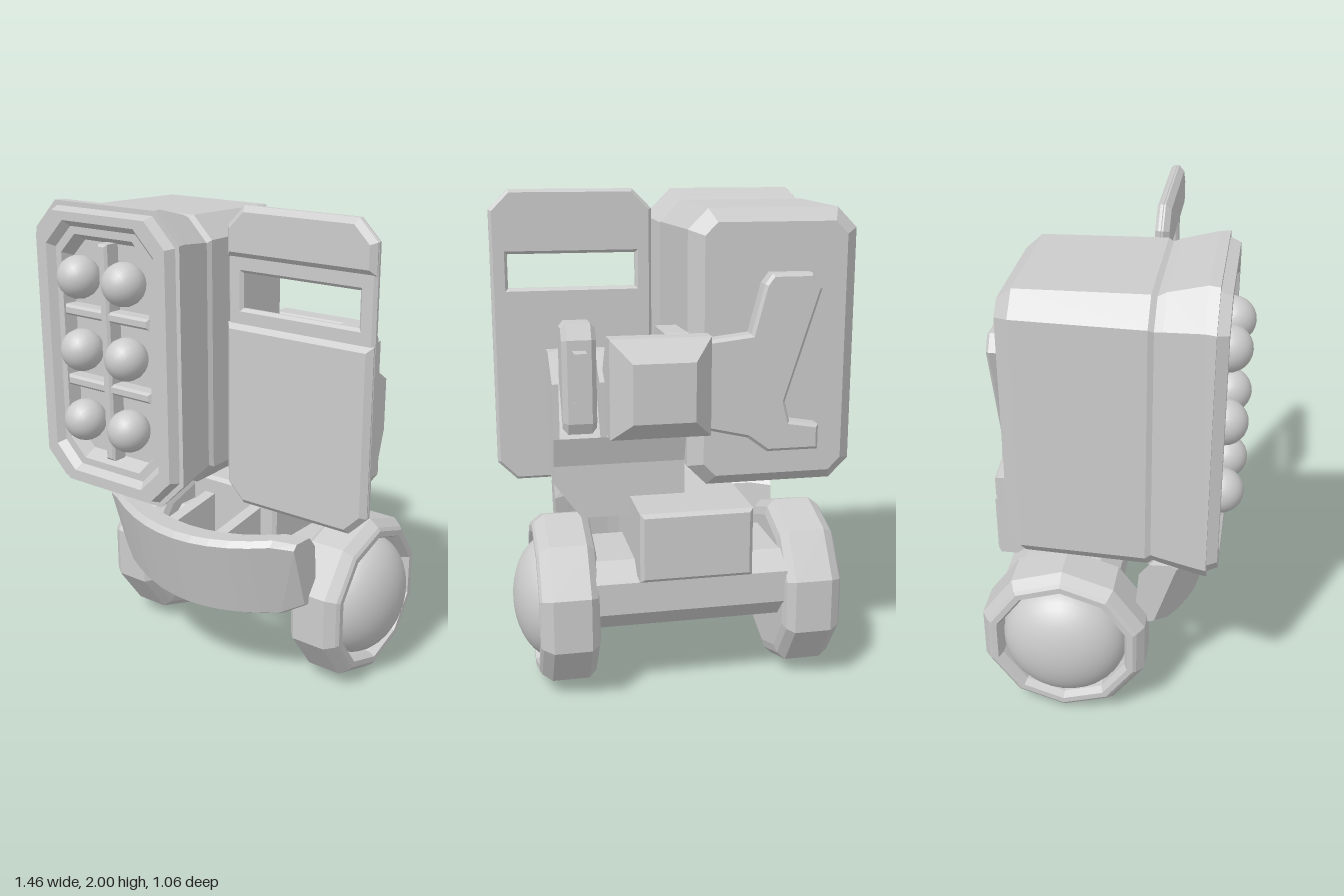
import * as THREE from 'three';

const flat = new THREE.MeshStandardMaterial({ color: 0xcccccc, flatShading: true, side: THREE.DoubleSide });
const smooth = new THREE.MeshStandardMaterial({ color: 0xcccccc });

// Skin a list of equal-length rings (counter-clockwise seen from the end side), capped at both ends.
function loft(rings) {
  const n = rings[0].length, pos = rings.flat(2), index = [];
  for (let r = 0; r < rings.length - 1; r++)
    for (let i = 0; i < n; i++) {
      const a = r * n + i, b = r * n + (i + 1) % n;
      index.push(a, b, b + n, a, b + n, a + n);
    }
  const last = (rings.length - 1) * n;
  for (let i = 1; i < n - 1; i++) {
    index.push(0, i + 1, i);
    index.push(last, last + i, last + i + 1);
  }
  const g = new THREE.BufferGeometry();
  g.setAttribute('position', new THREE.Float32BufferAttribute(pos, 3));
  g.setIndex(index);
  const out = g.toNonIndexed();
  out.computeVertexNormals();
  return out;
}

// Corner-cut rectangle in the plane z
function octagon(cx, cy, z, w, h, c) {
  return [[w, c - h], [w, h - c], [w - c, h], [c - w, h], [-w, h - c], [-w, c - h], [c - w, -h], [w - c, -h]]
    .map(([x, y]) => [cx + x, cy + y, z]);
}

const shapeOf = (pts) => new THREE.Shape(pts.map(([x, y]) => new THREE.Vector2(x, y)));

// Plate drawn in xy, from z0 to z1, with an optional bevel kept inside its outline
function plate(pts, z0, z1, bevel = 0, hole) {
  const s = shapeOf(pts);
  if (hole) s.holes.push(new THREE.Path(hole.map(([x, y]) => new THREE.Vector2(x, y))));
  const g = new THREE.ExtrudeGeometry(s, {
    depth: z1 - z0 - 2 * bevel, bevelEnabled: bevel > 0,
    bevelSize: bevel, bevelOffset: -bevel, bevelThickness: bevel, bevelSegments: 1,
  });
  return g.translate(0, 0, z0 + bevel);
}

// Side profile given as (z, y), extruded from x0 to x1
function prism(pts, x0, x1, bevel = 0) {
  return plate(pts.map(([z, y]) => [-z, y]), x0, x1, bevel).rotateY(Math.PI / 2);
}

function box(x0, x1, y0, y1, z0, z1, bevel = 0) {
  return plate([[x0, y0], [x1, y0], [x1, y1], [x0, y1]], z0, z1, bevel);
}

export function createModel() {
  const model = new THREE.Group();
  const add = (name, geometry, material = flat, parent = model) => {
    const m = new THREE.Mesh(geometry, material);
    m.name = name;
    parent.add(m);
    return m;
  };

  // Launcher pod: body, collar, front frame and recess in one skin
  const px = -0.345, py = 1.39;
  add('launcherPod', loft([
    [-0.36, 0.285, 0.5, 0.05], [-0.30, 0.34, 0.55, 0.08], [0.18, 0.355, 0.56, 0.09],
    [0.20, 0.345, 0.55, 0.09], [0.23, 0.35, 0.565, 0.1], [0.37, 0.375, 0.6, 0.12],
    [0.41, 0.385, 0.6, 0.12], [0.41, 0.365, 0.58, 0.11], [0.45, 0.345, 0.565, 0.1],
    [0.45, 0.29, 0.53, 0.1], [0.42, 0.265, 0.505, 0.09], [0.42, 0.235, 0.475, 0.08],
    [0.36, 0.225, 0.445, 0.07],
  ].map(([z, w, h, c]) => octagon(px, py, z, w, h, c))));

  // Grid dividers and rounded missile tips
  add('verticalDivider', box(px - 0.024, px + 0.024, 0.94, 1.84, 0.34, 0.43, 0.01));
  for (const y of [1.25, 1.55])
    add('horizontalDivider', box(px - 0.23, px + 0.23, y - 0.022, y + 0.022, 0.34, 0.425, 0.01));
  for (const x of [-0.465, -0.22])
    for (const y of [1.1, 1.4, 1.7]) {
      const tip = new THREE.SphereGeometry(0.088, 20, 12).rotateX(Math.PI / 2);
      add('missileTip', tip, smooth).position.set(x, y, 0.44);
    }

  // Shield: backing plate with a viewing slot and two raised panels
  const slot = [[0.13, 1.6], [0.13, 1.74], [0.66, 1.74], [0.66, 1.6]];
  const shieldEdge = [[0.14, 0.78], [0.65, 0.78], [0.73, 0.86], [0.73, 1.92], [0.65, 2], [0.14, 2], [0.06, 1.92], [0.06, 0.86]];
  add('shieldPlate', plate(shieldEdge, 0.11, 0.145, 0.012, slot));
  add('shieldLowerPanel', plate([[0.14, 0.78], [0.65, 0.78], [0.73, 0.86], [0.73, 1.54], [0.06, 1.54], [0.06, 0.86]], 0.115, 0.165, 0.022));
  add('shieldUpperPanel', plate([[0.06, 1.8], [0.73, 1.8], [0.73, 1.92], [0.65, 2], [0.14, 2], [0.06, 1.92]], 0.115, 0.165, 0.022));

  // Torso with a sloping back and a tapered underside
  add('torso', prism([[-0.03, 0.87], [-0.03, 1.2], [-0.09, 1.38], [-0.12, 1.38], [-0.31, 1.06], [-0.275, 0.94], [-0.275, 0.87]], 0, 0.53));
  const under = prism([[-0.03, 0.72], [-0.03, 0.87], [-0.275, 0.87], [-0.275, 0.72]], 0, 0.53);
  const up = under.attributes.position;
  for (let i = 0; i < up.count; i++)
    if (up.getX(i) > 0.3 && up.getY(i) < 0.8) up.setX(i, 0.42);
  add('torsoUnderside', under);

  // Shoulder block between two cheek plates, with a grip behind
  add('shoulder', prism([[-0.16, 1.05], [-0.16, 1.45], [-0.19, 1.51], [-0.29, 1.51], [-0.32, 1.45], [-0.32, 1.12], [-0.29, 1.05]], 0.355, 0.49, 0.02));
  for (const x of [0.32, 0.505])
    add('shoulderCheek', prism([[-0.11, 1.0], [-0.11, 1.38], [-0.16, 1.38], [-0.31, 1.28], [-0.31, 1.06]], x, x + 0.025));
  add('grip', prism([[-0.30, 1.16], [-0.39, 1.16], [-0.39, 1.41], [-0.30, 1.41], [-0.30, 1.36], [-0.355, 1.36], [-0.355, 1.21], [-0.30, 1.21]], 0.40, 0.45));

  // Rear housing and the strap plate that carries the pod
  const rect = (x0, x1, y0, y1, z) => [[x1, y0, z], [x1, y1, z], [x0, y1, z], [x0, y0, z]];
  add('rearHousing', loft([
    rect(0.01, 0.25, 1.16, 1.39, -0.535), rect(-0.07, 0.325, 1.08, 1.47, -0.44),
    rect(-0.07, 0.325, 1.08, 1.47, -0.36), rect(0.0, 0.325, 1.08, 1.25, -0.2),
  ]));
  add('podStrap', plate([
    [-0.47, 1.7], [-0.31, 1.7], [-0.28, 1.66], [-0.23, 1.47], [-0.05, 1.45], [-0.05, 1.1], [-0.22, 1.06], [-0.3, 1.0],
    [-0.51, 1.0], [-0.51, 1.1], [-0.39, 1.12], [-0.37, 1.2], [-0.51, 1.64],
  ], -0.435, -0.35, 0.012));
  for (const y of [1.17, 1.42])
    add('podLug', box(-0.01, 0.09, y - 0.045, y + 0.045, -0.32, -0.1, 0.01));

  // Chassis
  add('hipBox', box(-0.225, 0.225, 0.52, 0.8, -0.525, 0.04, 0.015));
  add('axle', prism([[-0.38, 0.285], [-0.46, 0.37], [-0.46, 0.5], [-0.38, 0.57], [-0.06, 0.57], [0.02, 0.5], [0.02, 0.37], [-0.06, 0.285]], -0.39, 0.39));

  // Curved bumper swept across x, top leaning forward
  const section = [[0.335, 0.35], [0.305, 0.365], [0.275, 0.42], [0.29, 0.64], [0.33, 0.70], [0.42, 0.705], [0.44, 0.68], [0.355, 0.36]];
  const bumper = [];
  for (let i = 0; i <= 12; i++) {
    const x = -0.49 + 0.98 * i / 12, a = Math.abs(x);
    const pinch = a > 0.45 ? 0.84 : 1;
    bumper.push(section.map(([z, y]) => [x, 0.535 + (y - 0.53) * pinch + 0.2 * x * x, z - 0.66 * x * x]).reverse());
  }
  add('bumper', loft(bumper));

  // Wheels and bumper struts, once per side
  const rim = [[0, 0.375], [0.29, 0.375], [0.325, 0.385], [0.355, 0.415], [0.355, 0.565], [0.325, 0.605], [0.31, 0.615],
    [0.285, 0.615], [0.27, 0.585], [0.27, 0.53], [0, 0.53]].map(([r, x]) => new THREE.Vector2(r, x));
  for (const side of [1, -1]) {
    const wheel = new THREE.Group();
    wheel.name = side > 0 ? 'leftWheel' : 'rightWheel';
    wheel.position.set(0, 0.355, -0.17);
    wheel.rotation.y = side > 0 ? 0 : Math.PI;
    add('rim', new THREE.LatheGeometry(rim, 10, Math.PI / 2).rotateZ(-Math.PI / 2), flat, wheel);
    const dome = new THREE.SphereGeometry(0.26, 30, 10, 0, Math.PI * 2, 0, Math.PI / 2);
    add('hubDome', dome.scale(1, 0.66, 1).rotateZ(-Math.PI / 2).translate(0.53, 0, 0), smooth, wheel);
    model.add(wheel);

    const x = side * 0.125;
    add('bumperStrut', prism([[0.0, 0.73], [0.32, 0.68], [0.30, 0.42], [0.16, 0.46], [0.0, 0.5]], x - 0.026, x + 0.026));
  }
  return model;
}
